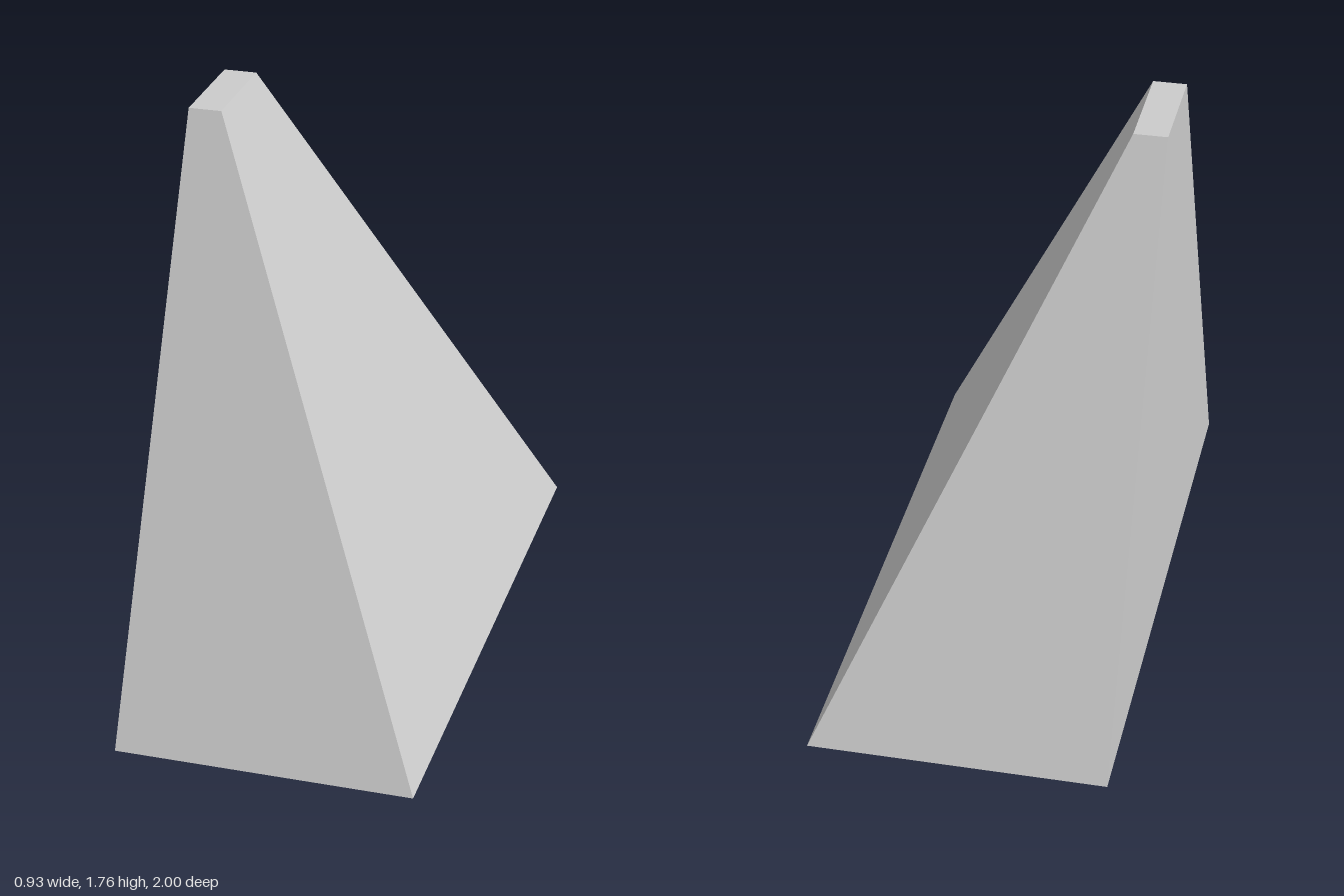
import * as THREE from 'three';

// Half of a truncated pyramid: one upright side, three sloping sides
export function createModel() {
  const group = new THREE.Group();
  const height = 1.76;
  const backX = -0.464; // upright side
  const base = { x: 0.464, z: 1 };
  const top = { x: -0.361, z: 0.173 };

  // Taper a box: corners move in towards the upright side at the top
  const geometry = new THREE.BoxGeometry(1, height, 1);
  geometry.translate(0, height / 2, 0);
  const pos = geometry.attributes.position;
  for (let i = 0; i < pos.count; i++) {
    const level = pos.getY(i) > height / 2 ? top : base;
    pos.setX(i, pos.getX(i) > 0 ? level.x : backX);
    pos.setZ(i, Math.sign(pos.getZ(i)) * level.z);
  }
  geometry.computeVertexNormals();

  const material = new THREE.MeshStandardMaterial({ color: 0xcccccc, flatShading: true });
  const wedge = new THREE.Mesh(geometry, material);
  wedge.name = 'taperedButtress';
  group.add(wedge);
  return group;
}
